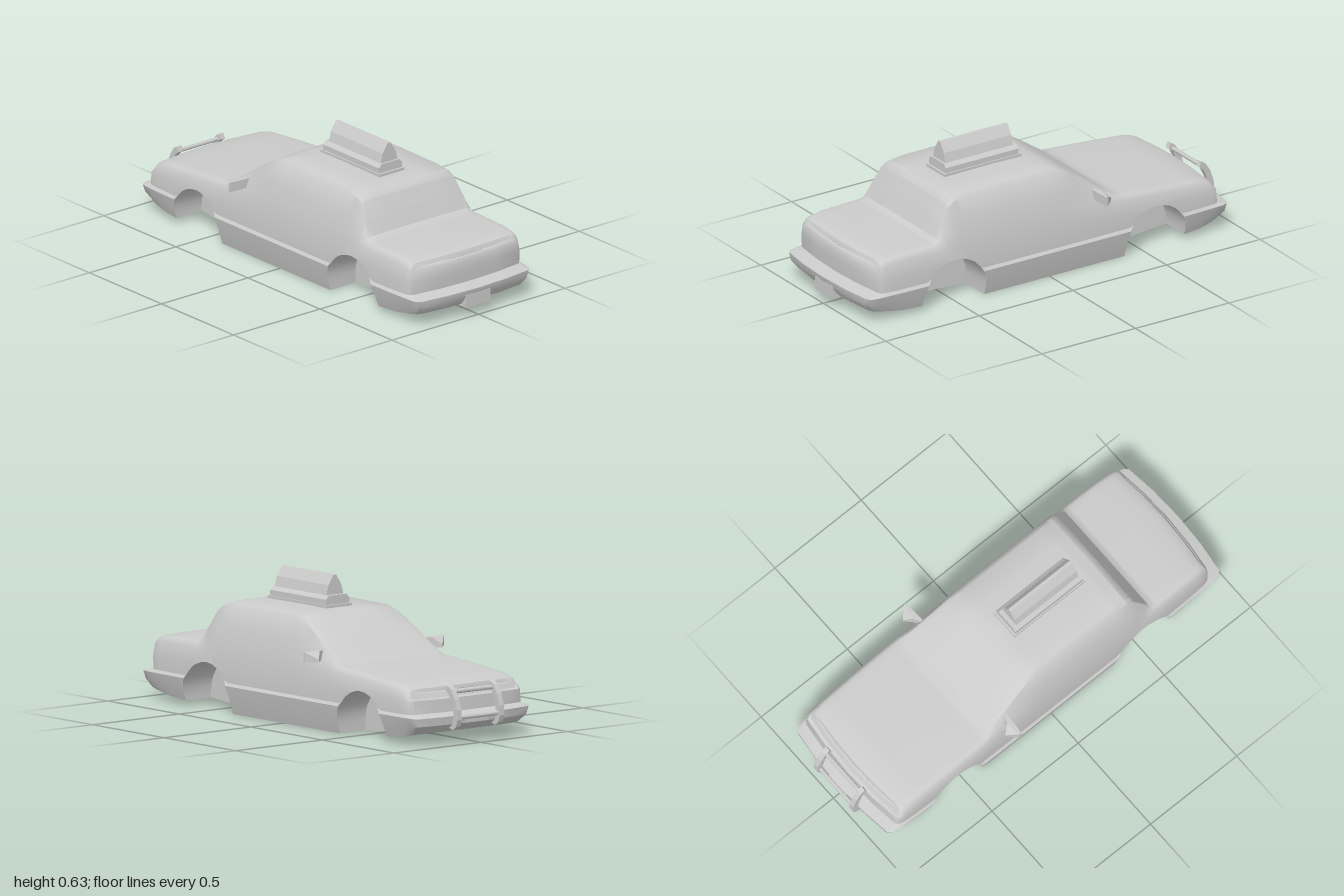
import * as THREE from 'three';
import { toCreasedNormals } from 'three/addons/utils/BufferGeometryUtils.js';

const mat = new THREE.MeshStandardMaterial({ color: 0xcccccc, side: THREE.DoubleSide });
const lerp = THREE.MathUtils.lerp;

// piecewise linear lookup in a list of [position, value]
function at(knots, z) {
  for (let i = 1; i < knots.length; i++) {
    const [a, va] = knots[i - 1], [b, vb] = knots[i];
    if (z <= b) return lerp(va, vb, Math.max(0, (z - a) / (b - a)));
  }
  return knots[knots.length - 1][1];
}

// centre line of bonnet, windscreen, roof, rear window and boot
const topLine = [[-1, 0.235], [-0.985, 0.25], [-0.95, 0.256], [-0.8, 0.27], [-0.55, 0.29], [-0.365, 0.303],
  [-0.22, 0.405], [-0.11, 0.475], [-0.06, 0.492], [0.15, 0.495], [0.42, 0.492], [0.48, 0.484], [0.51, 0.462], [0.55, 0.39],
  [0.585, 0.318], [0.61, 0.305], [0.8, 0.301], [0.95, 0.292], [0.985, 0.283], [1, 0.265]];
const floorLine = [[-1, 0.055], [-0.85, 0.035], [-0.4, 0], [0.35, 0], [0.8, 0.03], [1, 0.055]];
const arches = [[-0.56, 0.16], [0.515, 0.165]];
const WELL = 0.17;

function archHeight(z) {
  for (const [c, r] of arches) {
    const d = Math.abs(z - c);
    if (d <= r + 1e-7) return 0.05 + Math.sqrt(Math.max(0, r * r - d * d));
  }
  return 0;
}

// front and rear limits of each row of the cross-section, floor to roof
const frontEnds = [-0.925, -0.925, -0.925, -0.925, -0.97, -0.975, -0.925, -0.92, -0.905, -0.895, -0.892, -0.89, -0.885, -0.885, -0.885];
const rearEnds = [0.965, 0.965, 0.965, 0.965, 0.995, 1, 0.935, 0.938, 0.936, 0.93, 0.927, 0.925, 0.92, 0.92, 0.92];

// half cross-section at station z, scaled in x by s
function section(z, s) {
  const yt = at(topLine, z), yb = at(floorLine, z);
  const h = Math.max(0, (yt - 0.303) / 0.192);
  const top = (x0, x1, off, drop) => [lerp(x0, x1, h), yt - off * (1 - h) - drop * h];
  let side = [
    [0.315, yb], [0.333, lerp(yb, 0.125, 0.5)], [0.346, 0.127], [0.336, 0.14], [0.335, 0.2],
    [0.324, Math.min(0.27, yt - 0.03)],
    top(0.312, 0.319, 0.012, 0.195), top(0.304, 0.298, 0.007, 0.11), top(0.295, 0.263, 0.005, 0.02),
    top(0.27, 0.245, 0.003, 0.007), top(0.14, 0.13, 0.001, 0.001), [0, yt],
  ];
  // cut the wheel arch out of the side
  const ya = Math.max(yb, archHeight(z));
  const xa = at(side.slice(0, 6).map(([x, y]) => [y, x]), ya);
  side = side.map(([x, y]) => (y < ya ? [xa, ya] : [x, y]));
  const taper = s * (1 - 0.04 * z ** 4);
  return [[0, yb], [WELL, yb], [WELL, ya], ...side].map(([x, y], j) => {
    const end = z < 0 ? frontEnds[j] : rearEnds[j];
    const w = Math.max(0, (Math.abs(z) - 0.8) / 0.2);
    const X = x * taper;
    const zz = w > 0 ? Math.sign(z) * (0.8 + w * (Math.abs(end) - 0.8) - 0.028 * w * (X / 0.33) ** 2) : z;
    return new THREE.Vector3(X, y, zz);
  });
}

function bodyGeometry() {
  const zs = [-0.95, -0.9, -0.75, -0.3, -0.15, 0, 0.3, 0.7, 0.75, 0.9, ...topLine.map(k => k[0]), -0.4, 0.35]
    .filter(z => Math.abs(z) < 0.98);
  for (const [c, r] of arches) {
    for (let i = 0; i <= 14; i++) zs.push(c - r * Math.cos(Math.PI * i / 14));
    zs.push(c - r - 1e-5, c + r + 1e-5);
  }
  const stations = [...new Set(zs)].sort((a, b) => a - b).map(z => [z, 1]);
  const cap = [[0.985, 0.985], [1, 0.94], [1, 0.5], [1, 0]];
  stations.push(...cap);
  for (const [z, s] of cap) stations.unshift([-z, s]);
  const rows = stations.map(([z, s]) => section(z, s));

  const pos = [], tri = new THREE.Triangle();
  const add = (a, b, c) => {
    tri.set(a, b, c);
    if (tri.getArea() < 1e-9) return;
    for (const p of [a, b, c]) pos.push(p.x * 100, p.y * 100, p.z * 100);
    for (const p of [a, c, b]) pos.push(-p.x * 100, p.y * 100, p.z * 100);
  };
  for (let i = 0; i + 1 < rows.length; i++) {
    for (let j = 0; j + 1 < rows[i].length; j++) {
      const a = rows[i][j], b = rows[i][j + 1], c = rows[i + 1][j + 1], d = rows[i + 1][j];
      add(a, b, c);
      add(a, c, d);
    }
  }
  const g = new THREE.BufferGeometry();
  g.setAttribute('position', new THREE.Float32BufferAttribute(pos, 3));
  // creased at large scale so that close points stay distinct
  return toCreasedNormals(g, 0.6).scale(0.01, 0.01, 0.01);
}

function extrude(points, depth) {
  const shape = new THREE.Shape(points.map(p => new THREE.Vector2(...p)));
  return new THREE.ExtrudeGeometry(shape, { depth, bevelEnabled: false });
}
const mirrored = half => [...half, ...half.slice().reverse().map(([x, y]) => [-x, y])];

export function createModel() {
  const car = new THREE.Group();
  car.name = 'car';
  const add = (name, geo, x = 0, y = 0, z = 0) => {
    const m = new THREE.Mesh(geo, mat);
    m.name = name;
    m.position.set(x, y, z);
    car.add(m);
    return m;
  };
  add('body', bodyGeometry());

  // roof sign: plinth, stepped base and wedge panel
  add('signPlinth', new THREE.BoxGeometry(0.146, 0.02, 0.41), 0, 0.495, 0.195);
  add('signBase', extrude(mirrored([[0.067, 0.5], [0.067, 0.53], [0.05, 0.546]]), 0.39), 0, 0, 0);
  add('signPanel', extrude(mirrored([[0.05, 0.54], [0.037, 0.59], [0.008, 0.634]]), 0.36), 0, 0, 0.02);

  // plates
  add('rearPlate', new THREE.BoxGeometry(0.14, 0.06, 0.05), 0, 0.076, 0.973);
  add('frontPlate', new THREE.BoxGeometry(0.12, 0.035, 0.02), 0, 0.11, -0.968);

  // push bar on the nose
  const bar = [[0.93, 0.26], [0.955, 0.245], [0.98, 0.205], [0.997, 0.155], [1, 0.11], [0.99, 0.08], [0.97, 0.065],
    [0.94, 0.07], [0.965, 0.09], [0.972, 0.13], [0.96, 0.18], [0.94, 0.22], [0.92, 0.235]];
  for (const s of [-1, 1]) {
    const upright = add('pushBarUpright', extrude(bar, 0.025), s * 0.122 - 0.0125);
    upright.rotation.y = Math.PI / 2;
  }
  for (const [y, z] of [[0.232, -0.943], [0.12, -0.983]]) {
    const rail = add('pushBarRail', new THREE.CylinderGeometry(0.01, 0.01, 0.23, 8), 0, y, z);
    rail.rotation.z = Math.PI / 2;
  }

  // door mirrors: plan outline with the top sloping down to the front
  for (const s of [-1, 1]) {
    const plan = [[0.29, 0.238], [0.4, 0.245], [0.4, 0.256], [0.355, 0.3], [0.325, 0.268], [0.29, 0.25]];
    const geo = extrude(plan.map(([x, z]) => [x * s, z]), 0.045);
    const p = geo.attributes.position;
    for (let i = 0; i < p.count; i++) if (p.getY(i) > 0.28 && p.getZ(i) > 0.01) p.setZ(i, 0.015);
    geo.rotateX(-Math.PI / 2);
    geo.computeVertexNormals();
    add(s > 0 ? 'leftMirror' : 'rightMirror', geo, 0, 0.31, 0);
  }
  return car;
}
